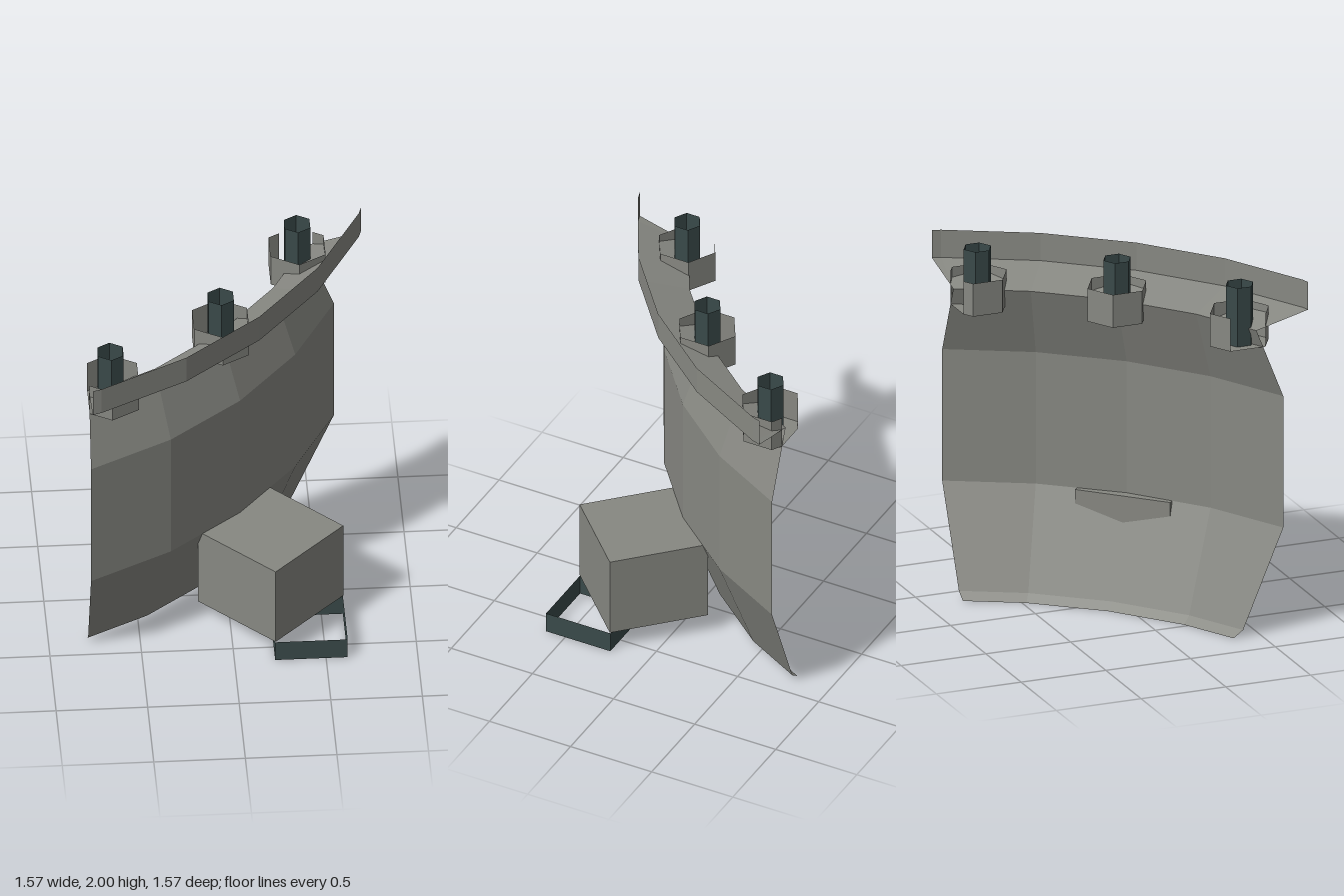
import * as THREE from 'three';

const C = -1.8;      // ring axis lies at x = z = C
const CUT = -0.785;  // the ring section is cut at x = CUT and z = CUT

const makeMaterial = (name, color) =>
  new THREE.MeshStandardMaterial({ name, color, flatShading: true, side: THREE.DoubleSide });

// Flat-shaded geometry from convex polygons, each fanned into triangles
function polygons(list) {
  const p = [];
  for (const f of list)
    for (let i = 1; i < f.length - 1; i++) p.push(...f[0], ...f[i], ...f[i + 1]);
  const g = new THREE.BufferGeometry();
  g.setAttribute('position', new THREE.Float32BufferAttribute(p, 3));
  g.computeVertexNormals();
  return g;
}

// Keep the part of a plan polygon with coordinate[axis] >= CUT
function clip(points, axis) {
  const out = [];
  points.forEach((a, i) => {
    const b = points[(i + 1) % points.length];
    const inA = a[axis] >= CUT, inB = b[axis] >= CUT;
    if (inA) out.push(a);
    if (inA !== inB) {
      const t = (CUT - a[axis]) / (b[axis] - a[axis]);
      const q = [a[0] + t * (b[0] - a[0]), a[1] + t * (b[1] - a[1])];
      q[axis] = CUT;
      out.push(q);
    }
  });
  return out;
}

// One ring of the 32-sided shell, ended on the two cut planes
function shellRow(radius, y) {
  const at = k => {
    const a = Math.PI / 4 + k * Math.PI / 16;
    return [C + radius * Math.cos(a), C + radius * Math.sin(a)];
  };
  const trim = (k, axis) => {
    const p = at(k);
    if (p[axis] >= CUT) return p;
    const s = Math.sign(k);
    let i = at(k - s), o = p;
    if (i[axis] < CUT) { o = i; i = at(k - 2 * s); }
    const t = (CUT - i[axis]) / (o[axis] - i[axis]);
    return [i[0] + t * (o[0] - i[0]), i[1] + t * (o[1] - i[1])];
  };
  return [trim(-3, 1), trim(-2, 1), at(-1), at(0), at(1), trim(2, 0), trim(3, 0)]
    .map(([x, z]) => [x, y, z]);
}

// Shell surface swept through [radius, height] profile points, bottom to top
function shell(profile) {
  const rows = profile.map(([r, y]) => shellRow(r, y));
  const faces = [];
  for (let j = 0; j < rows.length - 1; j++)
    for (let i = 0; i < 6; i++)
      faces.push([rows[j][i], rows[j + 1][i], rows[j + 1][i + 1], rows[j][i + 1]]);
  return polygons(faces);
}

// Six-sided cup with a floor, open at the top and where it is cut
function cup(x, z, radius, y0, y1) {
  let pts = [];
  for (let i = 0; i < 6; i++) {
    const a = Math.PI / 6 + i * Math.PI / 3;
    pts.push([x + radius * Math.cos(a), z + radius * Math.sin(a)]);
  }
  pts = clip(clip(pts, 0), 1);
  const faces = [pts.map(p => [p[0], y0, p[1]])];
  pts.forEach((a, i) => {
    const b = pts[(i + 1) % pts.length];
    if ([0, 1].some(k => a[k] === CUT && b[k] === CUT)) return;
    faces.push([[a[0], y0, a[1]], [a[0], y1, a[1]], [b[0], y1, b[1]], [b[0], y0, b[1]]]);
  });
  return polygons(faces);
}

export function createModel() {
  const model = new THREE.Group();
  const stone = makeMaterial('grey stone', 0x878882);
  const metal = makeMaterial('dark teal metal', 0x3a4a4a);
  const add = (name, geometry, material, x = 0, y = 0, z = 0, turn = 0) => {
    const m = new THREE.Mesh(geometry, material);
    m.name = name;
    m.position.set(x, y, z);
    m.rotation.y = turn;
    model.add(m);
  };

  // Curved wall, bulging in the middle
  add('curvedWall', shell([[2.38, 0], [2.43, 0.04], [2.64, 0.6], [2.64, 1.36], [2.5, 1.76]]), stone);
  // Flared ledge and upright rim
  add('rim', shell([[2.5, 1.76], [2.78, 1.84], [2.78, 2]]), stone);

  // Block on the outer face, with an open square sleeve below its front edge
  add('block', new THREE.BoxGeometry(0.56, 0.475, 0.56), stone, 0.224, 0.3625, 0.224, Math.PI / 4);
  add('sleeve', new THREE.CylinderGeometry(0.28, 0.28, 0.12, 4, 1, true), metal, 0.42, 0.06, 0.42, Math.PI / 4);

  // Three cups along the ledge, each holding a hollow post
  for (const degrees of [27, 45, 63]) {
    const a = THREE.MathUtils.degToRad(degrees);
    const x = C + 2.5 * Math.cos(a), z = C + 2.5 * Math.sin(a);
    add('cup', cup(x, z, 0.173, 1.66, 1.85), stone);
    add('post', new THREE.CylinderGeometry(0.08, 0.08, 0.34, 6, 1, true), metal, x, 1.83, z);
  }
  return model;
}
